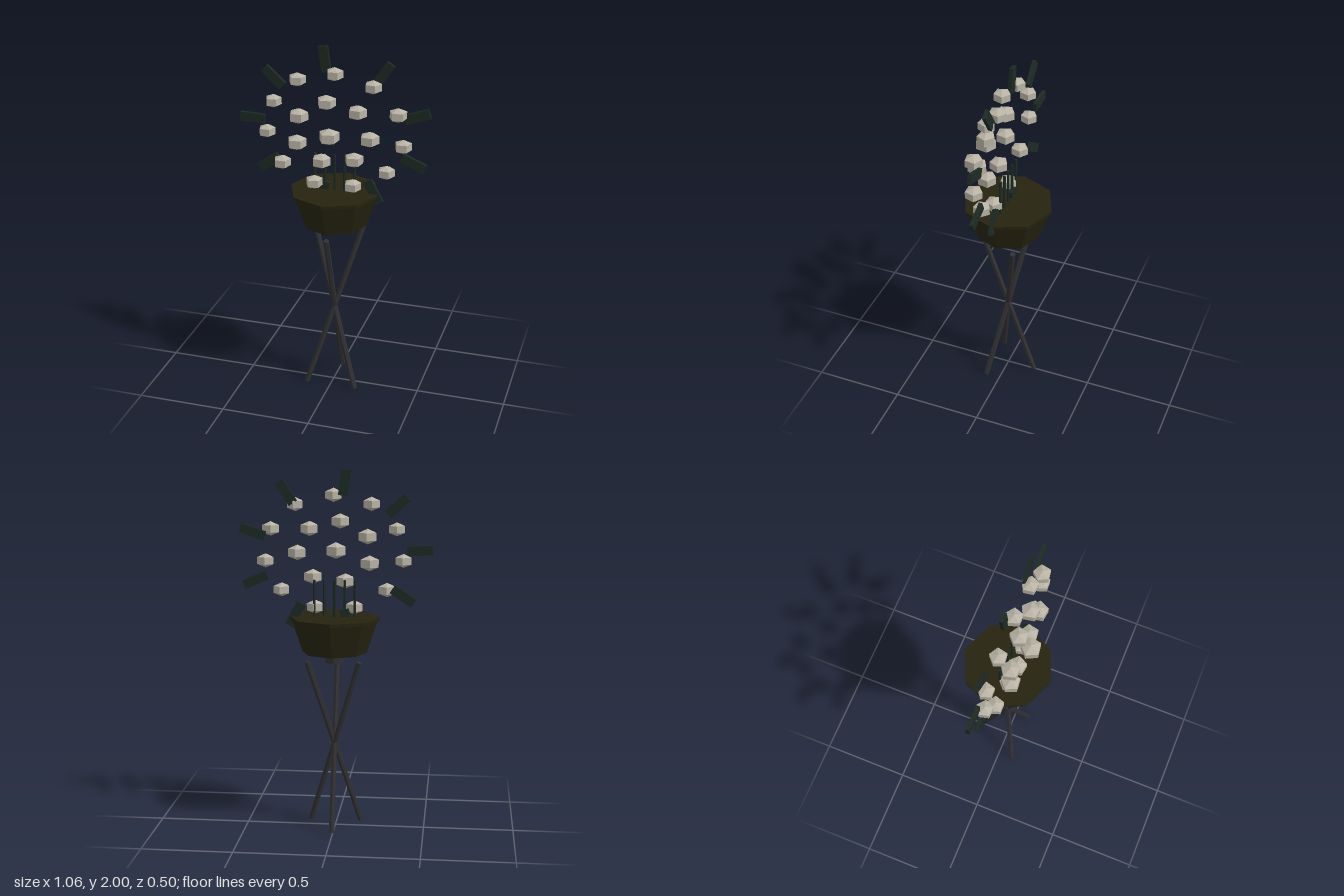
import * as THREE from 'three';

const mat = (name, color) => {
  const m = new THREE.MeshStandardMaterial({ color, flatShading: true });
  m.name = name;
  return m;
};

export function createModel() {
  const basketMat = mat('dark olive', 0x26240f);
  const metalMat = mat('charcoal', 0x303032);
  const leafMat = mat('dark green', 0x1c2a22);
  const petalMat = mat('pale stone', 0xb9b3a5);

  const model = new THREE.Group();
  model.name = 'flowerStand';
  const CX = 0.005; // axis of the stand

  const add = (name, geometry, material, x, y, z) => {
    const mesh = new THREE.Mesh(geometry, material);
    mesh.name = name;
    mesh.position.set(x, y, z);
    model.add(mesh);
    return mesh;
  };

  // Octagonal basket with a thin rim, and the hub beneath it
  add('basket', new THREE.CylinderGeometry(0.24, 0.178, 0.185, 8), basketMat, CX, 1.0925, 0);
  add('rim', new THREE.CylinderGeometry(0.25, 0.248, 0.02, 8), basketMat, CX, 1.188, 0);
  add('hub', new THREE.CylinderGeometry(0.05, 0.05, 0.06, 8), metalMat, CX, 0.973, 0);

  // Three legs crossing on the axis
  const legGeo = new THREE.CylinderGeometry(0.016, 0.016, 1.01, 6);
  const up = new THREE.Vector3(0, 1, 0);
  for (let i = 0; i < 3; i++) {
    const a = Math.PI / 2 + (i * Math.PI * 2) / 3;
    const dir = new THREE.Vector3(0.165 * Math.cos(a), 0.478, 0.165 * Math.sin(a)).normalize();
    add('leg', legGeo, metalMat, CX, 0.483, 0).quaternion.setFromUnitVectors(up, dir);
  }

  // Row of short stems
  const stemGeo = new THREE.CylinderGeometry(0.008, 0.008, 0.3, 6);
  for (let i = -2; i <= 2; i++) add('stem', stemGeo, leafMat, CX + i * 0.056, 1.25, 0);

  // Ring of flat leaves: x, y, angle in degrees
  const leafGeo = new THREE.BoxGeometry(0.14, 0.052, 0.02);
  [
    [-0.05, 1.93, 98], [0.27, 1.875, 56], [0.455, 1.66, 19], [0.44, 1.397, -23], [0.222, 1.208, -61],
    [-0.06, 1.17, 80], [-0.37, 1.317, 34], [-0.46, 1.567, -2], [-0.336, 1.807, -42],
  ].forEach(([x, y, deg]) => {
    add('leaf', leafGeo, leafMat, x, y, 0).rotation.z = THREE.MathUtils.degToRad(deg);
  });

  // Faceted five-sided blossoms: x, y, z
  const blossomGeo = new THREE.SphereGeometry(0.057, 5, 3);
  blossomGeo.scale(1, 0.72, 1);
  [
    [0.013, 1.862, 0.03], [-0.193, 1.815, 0.03], [0.222, 1.81, 0.03], [-0.02, 1.717, 0.07],
    [-0.333, 1.68, 0.02], [0.148, 1.675, 0.065], [0.362, 1.675, 0.045], [-0.17, 1.632, 0.085],
    [-0.37, 1.508, 0.026], [0.01, 1.548, 0.125], [0.22, 1.54, 0.085], [0.39, 1.5, 0.035],
    [-0.18, 1.484, 0.09], [-0.048, 1.386, 0.075], [0.132, 1.41, 0.07], [-0.28, 1.344, 0.045],
    [0.3, 1.341, 0.03], [-0.1, 1.246, 0.04], [0.116, 1.246, 0.038],
  ].forEach(([x, y, z], i) => {
    const b = add('blossom', blossomGeo, petalMat, x, y, z);
    b.rotation.y = -Math.PI / 2 + 0.15 * Math.sin(i * 2.3); // one corner points back
    b.scale.setScalar(0.88 + 2 * z); // front blossoms are fuller
  });

  return model;
}
